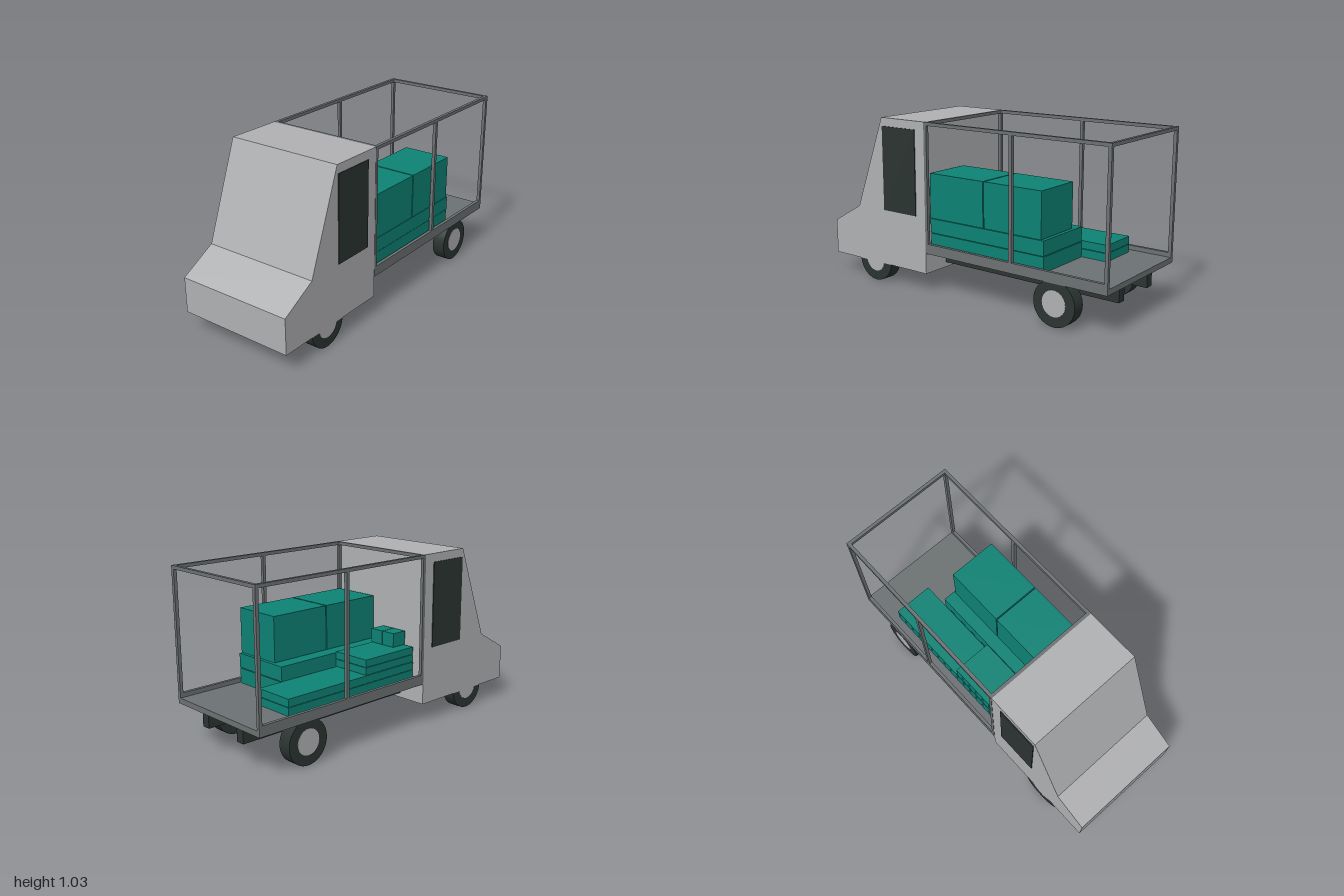
import * as THREE from 'three';

const mat = (name, color) => Object.assign(new THREE.MeshStandardMaterial({ color }), { name });

export function createModel() {
  const paint = mat('light grey paint', 0xb0b1b3);
  const steel = mat('grey steel', 0x6c7173);
  const dark = mat('dark rubber and glass', 0x2b3432);
  const teal = mat('teal crates', 0x0d8274);
  const truck = new THREE.Group();
  truck.name = 'truck';

  function add(name, geometry, material) {
    const mesh = new THREE.Mesh(geometry, material);
    mesh.name = name;
    truck.add(mesh);
    return mesh;
  }
  // Box given by its lower and upper limits on each axis
  function box(name, material, x0, x1, y0, y1, z0, z1) {
    const mesh = add(name, new THREE.BoxGeometry(x1 - x0, y1 - y0, z1 - z0), material);
    mesh.position.set((x0 + x1) / 2, (y0 + y1) / 2, (z0 + z1) / 2);
    return mesh;
  }

  const W = 0.365; // half width
  const T = 0.02; // frame bar thickness
  const backOfCab = -0.232;

  // Cab: side profile extruded across the width
  const profile = [[-1, 0.12], [backOfCab, 0.12], [backOfCab, 1.028], [-0.57, 1.028], [-0.785, 0.457], [-1, 0.335]];
  const cabShape = new THREE.Shape(profile.map(([x, y]) => new THREE.Vector2(x, y)));
  const cab = new THREE.ExtrudeGeometry(cabShape, { depth: 2 * W - 0.004, bevelEnabled: false });
  cab.translate(0, 0, -W + 0.002);
  add('cab', cab, paint);

  // Cargo deck, with a rear edge flush with the floor
  box('deck', steel, backOfCab, 1, 0.247, 0.28, -W, W);

  for (const s of [-1, 1]) {
    const side = (name, material, x0, x1, y0, y1, zIn, zOut) =>
      box(name, material, x0, x1, y0, y1, Math.min(s * zIn, s * zOut), Math.max(s * zIn, s * zOut));

    side('sideWindow', dark, -0.563, -0.303, 0.463, 0.977, W - 0.003, W + 0.003);
    side('chassisRail', dark, backOfCab, 0.967, 0.15, 0.247, 0.128, 0.182);
    side('deckSideRail', steel, backOfCab, 1, 0.247, 0.307, W - T, W);
    side('topSideRail', steel, backOfCab, 1, 1.028 - T, 1.028, W - T, W);
    for (const x of [backOfCab, 0.376, 1 - T]) {
      side('post', steel, x, x + T, 0.28, 1.028, W - T, W);
    }

    // Wheels with hub discs on the outer side
    for (const x of [-0.656, 0.674]) {
      const tyre = add('tyre', new THREE.CylinderGeometry(0.132, 0.132, 0.08, 40), dark);
      tyre.rotation.x = Math.PI / 2;
      tyre.position.set(x, 0.132, s * 0.32);
      const hub = add('hub', new THREE.CylinderGeometry(0.075, 0.075, 0.008, 32), paint);
      hub.rotation.x = Math.PI / 2;
      hub.position.set(x, 0.134, s * 0.358);
    }
  }

  // Bars across the top of the cargo frame
  for (const x of [backOfCab, 1 - T]) {
    box('topCrossBar', steel, x, x + T, 1.028 - T, 1.028, -W, W);
  }

  // Crates: x end, y range, z range, and optional x start
  const crates = [
    [0.59, 0.28, 0.37, -0.044, 0.337],
    [0.59, 0.374, 0.46, -0.044, 0.34],
    [0.18, 0.463, 0.73, 0.034, 0.34],
    [0.574, 0.463, 0.73, 0.034, 0.34, 0.187],
    [0.755, 0.28, 0.327, -0.298, -0.049],
    [0.755, 0.33, 0.376, -0.298, -0.049],
    [0.183, 0.379, 0.422, -0.296, -0.049],
    [0.183, 0.425, 0.469, -0.296, -0.049],
    [-0.11, 0.472, 0.556, -0.138, -0.049],
    [-0.11, 0.472, 0.556, -0.23, -0.142],
  ];
  for (const [x1, y0, y1, z0, z1, x0 = -0.21] of crates) {
    box('crate', teal, x0, x1, y0, y1, z0, z1);
  }

  return truck;
}
